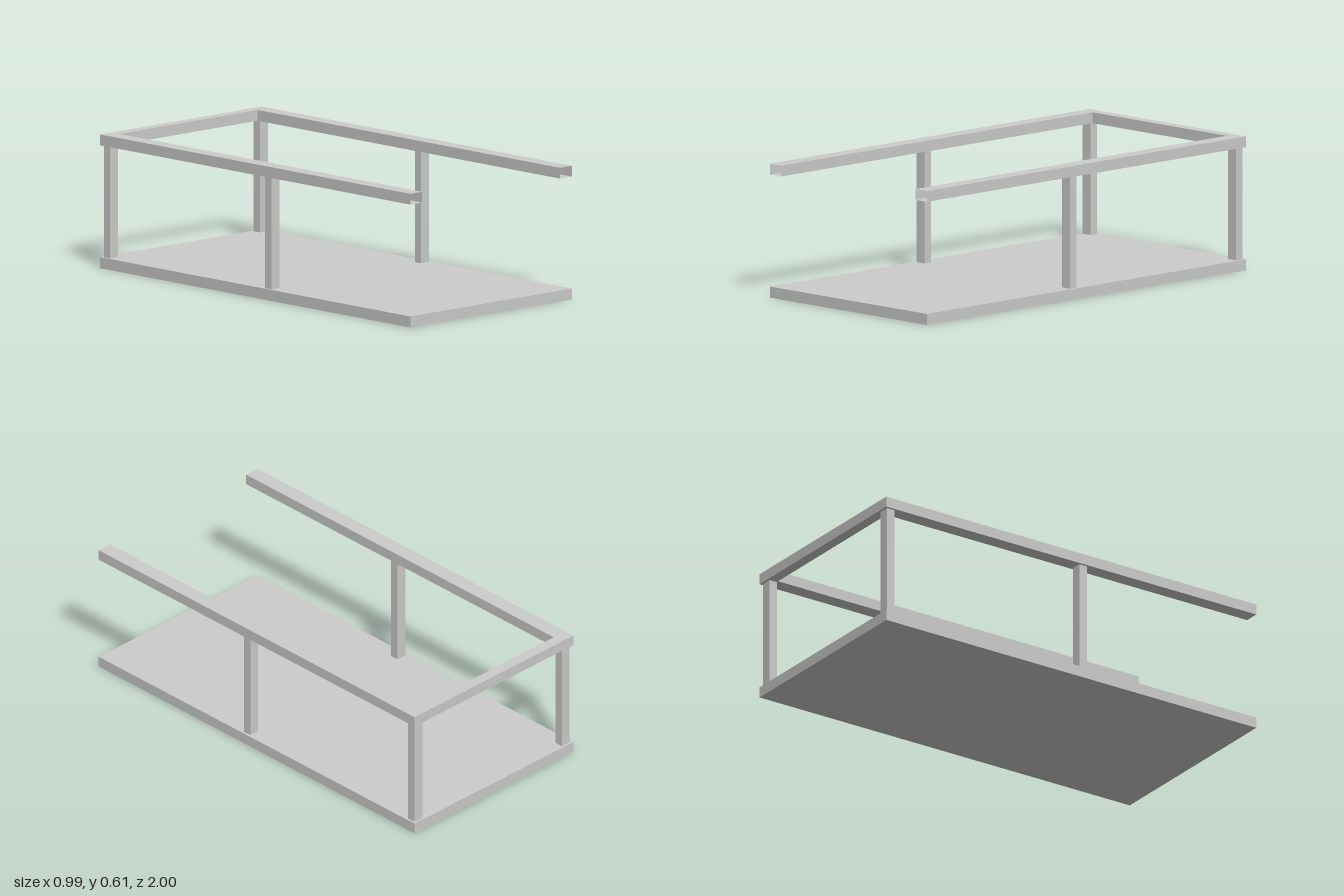
import * as THREE from 'three';

const HALF_W = 0.496, HALF_L = 1;
const DECK_H = 0.05, RAIL_Y0 = 0.556, RAIL_Y1 = 0.605;
const RAIL_IN_X = 0.424, RAIL_IN_Z = -0.95;

// U-shaped hollow rail: a rectangular section mitred round the back corners, open at both front ends
function railGeometry() {
  const stations = [
    { out: [HALF_W, HALF_L], inn: [RAIL_IN_X, HALF_L] },
    { out: [HALF_W, -HALF_L], inn: [RAIL_IN_X, RAIL_IN_Z] },
    { out: [-HALF_W, -HALF_L], inn: [-RAIL_IN_X, RAIL_IN_Z] },
    { out: [-HALF_W, HALF_L], inn: [-RAIL_IN_X, HALF_L] },
  ];
  const rings = stations.map(({ out, inn }) => [
    [out[0], RAIL_Y0, out[1]],
    [out[0], RAIL_Y1, out[1]],
    [inn[0], RAIL_Y1, inn[1]],
    [inn[0], RAIL_Y0, inn[1]],
  ]);
  const pos = [];
  for (let s = 0; s < rings.length - 1; s++) {
    for (let k = 0; k < 4; k++) {
      const n = (k + 1) % 4;
      const a0 = rings[s][k], b0 = rings[s][n];
      const a1 = rings[s + 1][k], b1 = rings[s + 1][n];
      pos.push(...a0, ...a1, ...b0, ...b0, ...a1, ...b1);
    }
  }
  const geo = new THREE.BufferGeometry();
  geo.setAttribute('position', new THREE.Float32BufferAttribute(pos, 3));
  geo.computeVertexNormals();
  return geo;
}

export function createModel() {
  const model = new THREE.Group();
  model.name = 'railedPlatform';
  const solid = new THREE.MeshStandardMaterial({ color: 0xcccccc, flatShading: true });
  const open = new THREE.MeshStandardMaterial({ color: 0xcccccc, flatShading: true, side: THREE.DoubleSide });

  const add = (name, geometry, material, x = 0, y = 0, z = 0) => {
    const mesh = new THREE.Mesh(geometry, material);
    mesh.name = name;
    mesh.position.set(x, y, z);
    model.add(mesh);
  };

  // Flat deck
  add('deck', new THREE.BoxGeometry(HALF_W * 2, DECK_H, HALF_L * 2), solid, 0, DECK_H / 2, 0);

  // Handrail round both sides and the back
  add('handrail', railGeometry(), open);

  // Two posts on each side
  const postH = RAIL_Y0 - DECK_H;
  const post = new THREE.BoxGeometry(0.049, postH, 0.041);
  for (const [side, sx] of [['left', 1], ['right', -1]]) {
    for (const [place, z] of [['Middle', 0.072], ['Back', -0.968]]) {
      add(`${side}${place}Post`, post, solid, sx * 0.46, DECK_H + postH / 2, z);
    }
  }
  return model;
}
